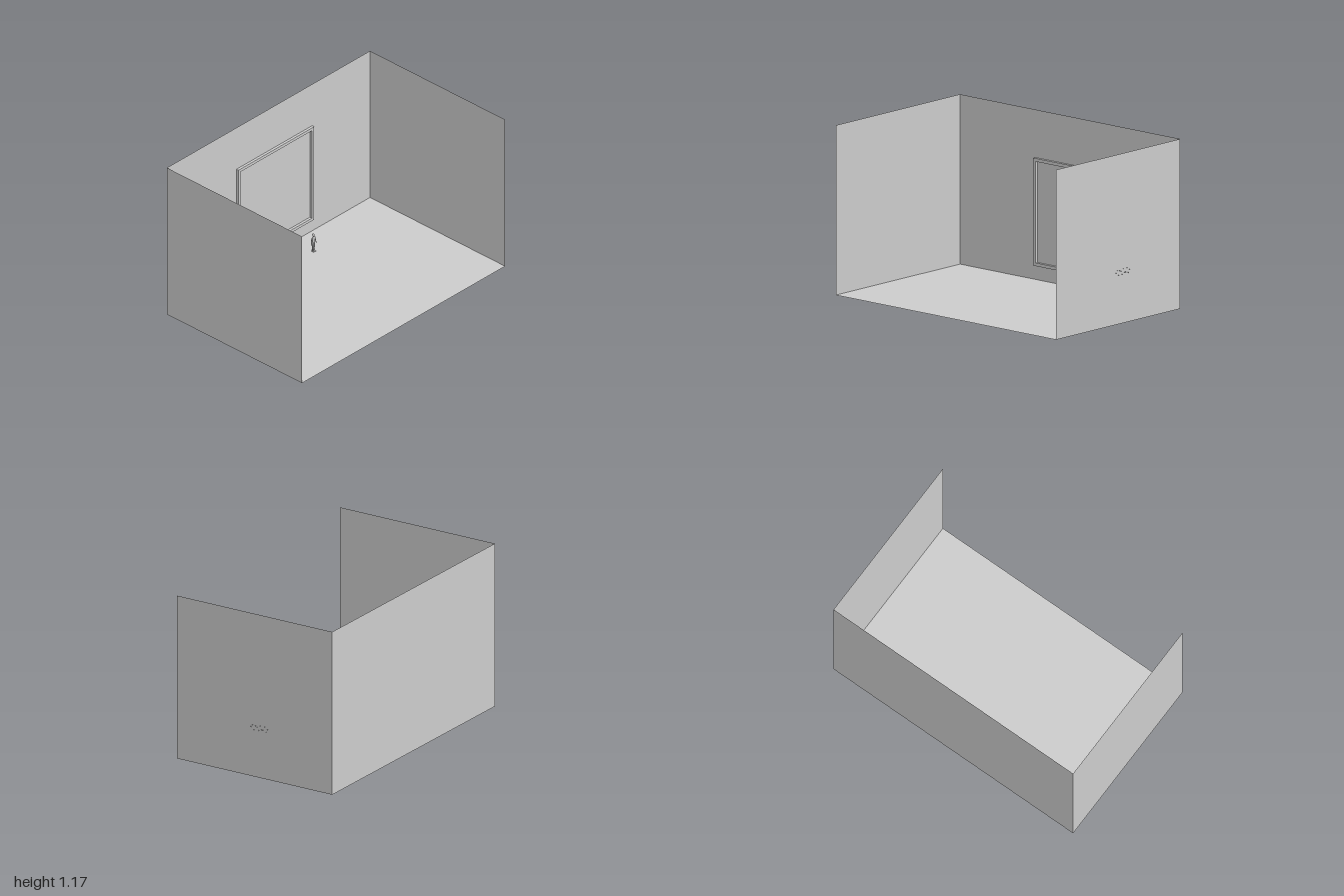
import * as THREE from 'three';

const grey = new THREE.MeshStandardMaterial({ color: 0xcccccc });
const greyThin = new THREE.MeshStandardMaterial({ color: 0xcccccc, side: THREE.DoubleSide });

function add(parent, name, geometry, x, y, z, material = grey) {
  const mesh = new THREE.Mesh(geometry, material);
  mesh.name = name;
  mesh.position.set(x, y, z);
  parent.add(mesh);
  return mesh;
}

// Tapered limb between two points, with rounded ends
function limb(parent, name, a, b, ra, rb) {
  const from = new THREE.Vector3(...a), to = new THREE.Vector3(...b);
  const dir = to.clone().sub(from);
  const mid = from.clone().add(to).multiplyScalar(0.5);
  const mesh = add(parent, name, new THREE.CylinderGeometry(rb, ra, dir.length(), 10), mid.x, mid.y, mid.z);
  mesh.quaternion.setFromUnitVectors(new THREE.Vector3(0, 1, 0), dir.normalize());
  add(parent, name + 'Joint', new THREE.SphereGeometry(rb, 10, 8), ...b);
}

// Small standing person, feet at the local origin
function createFigure() {
  const figure = new THREE.Group();
  figure.name = 'standingFigure';
  const head = add(figure, 'head', new THREE.SphereGeometry(0.0085, 14, 10), 0, 0.129, 0);
  head.scale.set(0.9, 1.25, 1.05);
  limb(figure, 'neck', [0, 0.11, 0], [0, 0.121, 0], 0.005, 0.004);
  const profile = [[0, 0.066], [0.011, 0.068], [0.0125, 0.076], [0.01, 0.089],
    [0.0135, 0.104], [0.013, 0.111], [0.005, 0.116], [0, 0.116]];
  const torso = add(figure, 'torso',
    new THREE.LatheGeometry(profile.map(p => new THREE.Vector2(...p)), 14), 0, 0, 0);
  torso.scale.z = 0.65;
  for (const s of [-1, 1]) {
    limb(figure, 'upperArm', [s * 0.012, 0.109, 0], [s * 0.019, 0.086, -0.001], 0.005, 0.0038);
    limb(figure, 'forearm', [s * 0.019, 0.086, -0.001], [s * 0.022, 0.066, 0.004], 0.0038, 0.0025);
    const hand = add(figure, 'hand', new THREE.SphereGeometry(0.004, 8, 6), s * 0.022, 0.061, 0.005);
    hand.scale.set(0.7, 1.5, 1);
    limb(figure, 'thigh', [s * 0.006, 0.073, 0], [s * 0.006, 0.039, 0.001], 0.0075, 0.005);
    limb(figure, 'shin', [s * 0.006, 0.039, 0.001], [s * 0.006, 0.005, -0.002], 0.005, 0.003);
    add(figure, 'foot', new THREE.BoxGeometry(0.007, 0.005, 0.02), s * 0.006, 0.0025, 0.003);
  }
  return figure;
}

export function createModel() {
  const model = new THREE.Group();
  model.name = 'openRoom';
  const x0 = -1, x1 = 0.99, depth = 1.245, height = 1.17;
  const width = x1 - x0, cx = (x0 + x1) / 2, back = -depth / 2;

  // Floor and three paper-thin walls
  const floor = add(model, 'floor', new THREE.PlaneGeometry(width, depth), cx, 0, 0, greyThin);
  floor.rotation.x = -Math.PI / 2;
  add(model, 'backWall', new THREE.PlaneGeometry(width, height), cx, height / 2, back, greyThin);
  const sideWall = new THREE.PlaneGeometry(depth, height);
  add(model, 'rightWall', sideWall, x0, height / 2, 0, greyThin).rotation.y = Math.PI / 2;
  add(model, 'leftWall', sideWall, x1, height / 2, 0, greyThin).rotation.y = -Math.PI / 2;

  // Square frame on the back wall
  const size = 0.742, border = 0.022;
  const outline = new THREE.Shape();
  const rect = (path, h) => path.moveTo(-h, -h).lineTo(h, -h).lineTo(h, h).lineTo(-h, h).closePath();
  rect(outline, size / 2);
  const opening = new THREE.Path();
  rect(opening, size / 2 - border);
  outline.holes.push(opening);
  add(model, 'wallFrame', new THREE.ExtrudeGeometry(outline, { depth: 0.019, bevelEnabled: false }),
    0.051, 0.469, back + 0.001);

  // Person near the frame
  const figure = createFigure();
  figure.position.set(0.245, 0, -0.443);
  model.add(figure);

  // Tiny raised studs on the outside of the left wall
  const stud = new THREE.BoxGeometry(0.008, 0.003, 0.004);
  for (let i = 0; i < 12; i++) {
    add(model, 'wallStud', stud, x1 + 0.006, 0.357 + 0.019 * Math.sin(i * 2.3), 0.025 - i * 0.012);
  }
  return model;
}
